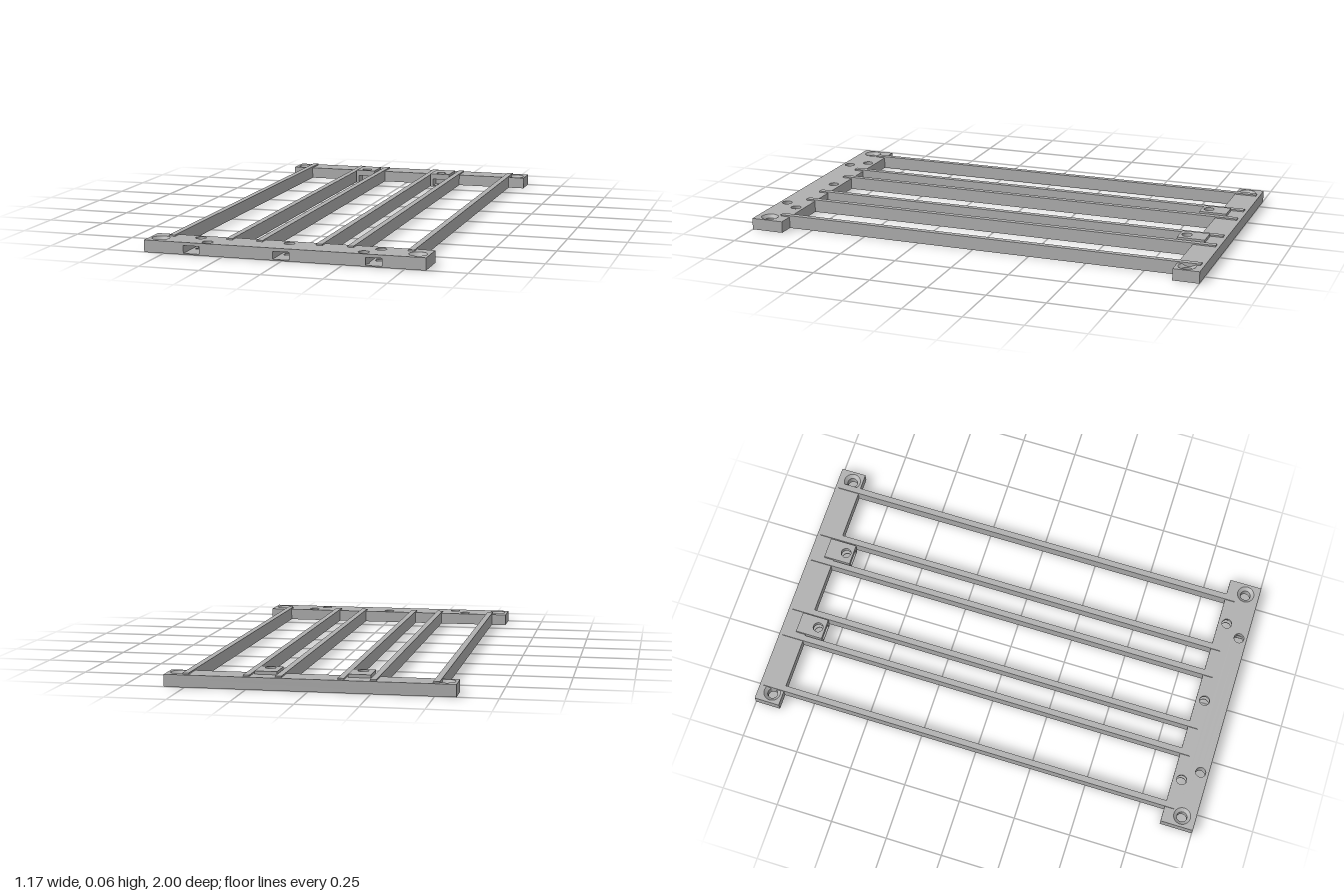
import * as THREE from 'three';

const HOLE_R = 0.022, SINK_R = 0.037;
const SLOT_BOTTOM = 0.005, SLOT_TOP = 0.037, SLOT_HALF = 0.034;

// Flat layer in plan (x, z), with notches cut into its front edge and round holes
function layer(material, name, [x0, x1, z0, z1], y0, y1, holes, notches = []) {
  const shape = new THREE.Shape();
  shape.moveTo(x0, -z1);
  for (const n of notches) {
    shape.lineTo(n.x - SLOT_HALF, -z1);
    shape.lineTo(n.x - SLOT_HALF, -n.end);
    shape.lineTo(n.x + SLOT_HALF, -n.end);
    shape.lineTo(n.x + SLOT_HALF, -z1);
  }
  shape.lineTo(x1, -z1);
  shape.lineTo(x1, -z0);
  shape.lineTo(x0, -z0);
  shape.closePath();
  for (const [x, z, r] of holes) {
    shape.holes.push(new THREE.Path().absarc(x, -z, r, 0, Math.PI * 2, true));
  }
  const geometry = new THREE.ExtrudeGeometry(shape, { depth: y1 - y0, bevelEnabled: false, curveSegments: 24 });
  geometry.rotateX(-Math.PI / 2);
  const mesh = new THREE.Mesh(geometry, material);
  mesh.position.y = y0;
  mesh.name = name;
  return mesh;
}

// Block with through holes, countersunk screw holes and nut slots open to the front
function block(name, rect, height, { holes = [], sinks = [], slots = [] }, material, innerMaterial) {
  const group = new THREE.Group();
  group.name = name;
  const plain = holes.map(([x, z]) => [x, z, HOLE_R]);
  const slotHoles = slots.map((s) => [s.x, s.z, HOLE_R]);
  const narrow = sinks.map(([x, z]) => [x, z, HOLE_R]);
  const wide = sinks.map(([x, z]) => [x, z, SINK_R]);
  group.add(
    layer(material, 'lowerLayer', rect, 0, SLOT_BOTTOM, [...plain, ...slotHoles, ...narrow]),
    layer(material, 'slotLayer', rect, SLOT_BOTTOM, SLOT_TOP, [...plain, ...narrow], slots),
    layer(material, 'upperLayer', rect, SLOT_TOP, height, [...plain, ...slotHoles, ...wide]),
  );
  // Conical seats for the screw heads
  for (const [x, z] of sinks) {
    const h = height - SLOT_TOP;
    const cone = new THREE.Mesh(new THREE.CylinderGeometry(SINK_R, HOLE_R, h, 48, 1, true), innerMaterial);
    cone.position.set(x, SLOT_TOP + h / 2, z);
    cone.name = 'countersink';
    group.add(cone);
  }
  return group;
}

export function createModel() {
  const model = new THREE.Group();
  model.name = 'slattedFrame';
  const grey = new THREE.MeshStandardMaterial({ color: 0xb0b0b0, side: THREE.DoubleSide });
  grey.name = 'grey';

  // Front and back crossbars
  model.add(block('frontBar', [-0.585, 0.585, 0.857, 1], 0.05, {
    holes: [[-0.325, 0.965], [0.325, 0.965]],
    sinks: [[-0.537, 0.94], [0.537, 0.94]],
    slots: [-0.382, -0.004, 0.376].map((x) => ({ x, z: 0.895, end: 0.865 })),
  }, grey, grey));
  model.add(block('backBar', [-0.585, 0.585, -1, -0.888], 0.05, {
    sinks: [[-0.537, -0.935], [0.537, -0.935]],
  }, grey, grey));

  // Long rails, let into both bars and standing slightly proud
  const railFront = 0.9, railBack = -0.985, railHeight = 0.056;
  for (const x of [-0.505, -0.257, -0.128, 0.122, 0.252, 0.499]) {
    const rail = new THREE.Mesh(new THREE.BoxGeometry(0.026, railHeight, railFront - railBack), grey);
    rail.position.set(x, railHeight / 2, (railFront + railBack) / 2);
    rail.name = 'rail';
    model.add(rail);
  }

  // Mounting tabs with a nut slot, on the inner side of the back bar
  for (const x of [-0.192, 0.186]) {
    model.add(block('mountingTab', [x - 0.046, x + 0.046, -0.93, -0.81], 0.063, {
      slots: [{ x, z: -0.842, end: -0.873 }],
    }, grey, grey));
  }
  return model;
}
